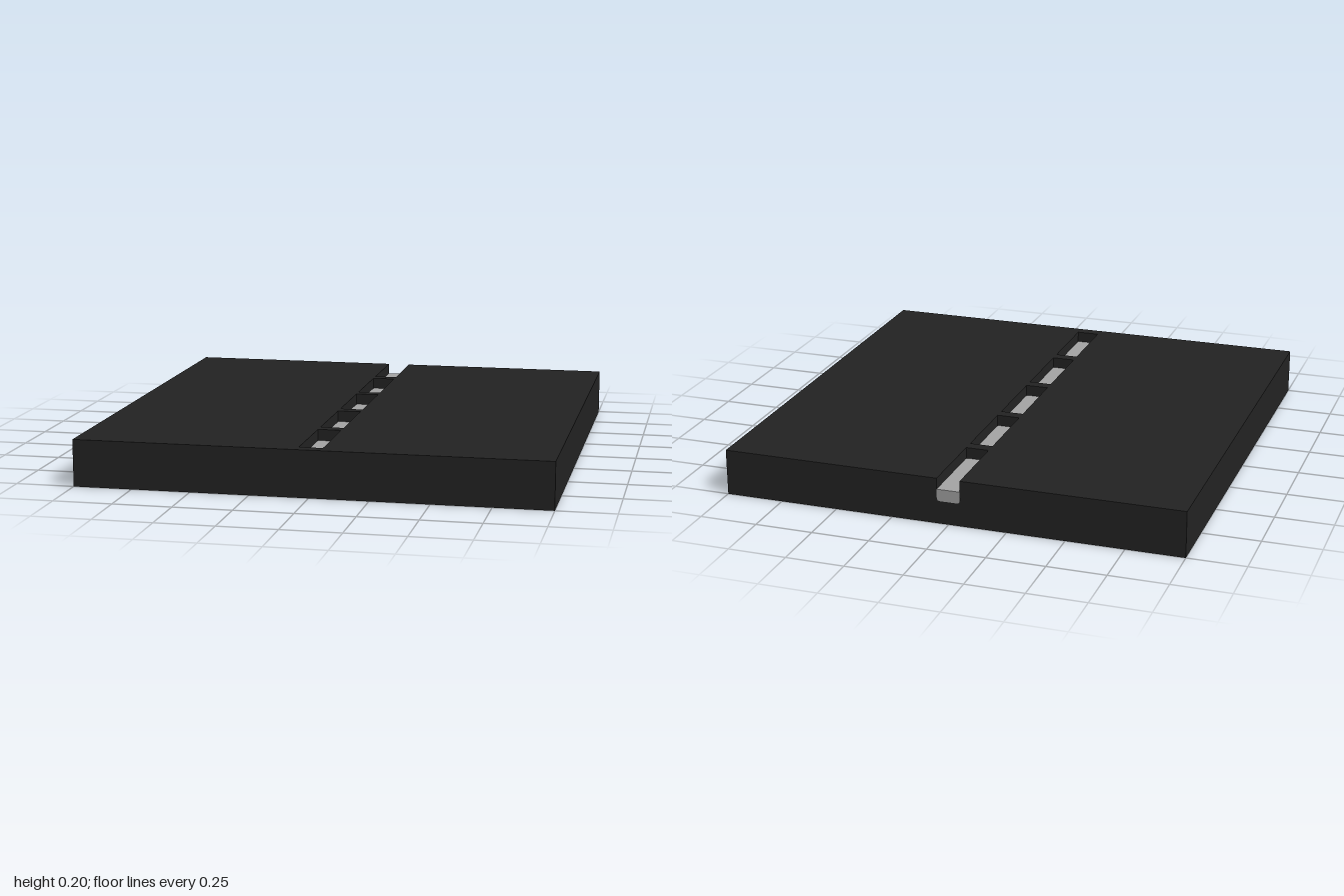
import * as THREE from 'three';

const HALF = 0.05;      // half width of a slot
const FLOOR = 0.15;     // height of the slot floors
const TOP = 0.2;
const RADIUS = 0.014;

// Closed slots as [back z, front z]; a fifth slot runs out through the back edge
const SLOTS = [[-0.6, -0.25], [-0.2, 0.15], [0.2, 0.55], [0.6, 0.95]];
const OPEN_SLOT_FRONT = -0.65;

const polygon = (points, Type = THREE.Shape) =>
  new Type(points.map(([x, y]) => new THREE.Vector2(x, y)));

// Shape with two or four rounded corners; the far end may stay square
function stripShape(y0, y1, roundFar) {
  const r = RADIUS, f = roundFar ? r : 0, s = new THREE.Shape();
  s.moveTo(-HALF + r, y0);
  s.lineTo(HALF - r, y0);
  s.quadraticCurveTo(HALF, y0, HALF, y0 + r);
  s.lineTo(HALF, y1 - f);
  if (f) s.quadraticCurveTo(HALF, y1, HALF - f, y1);
  s.lineTo(-HALF + f, y1);
  if (f) s.quadraticCurveTo(-HALF, y1, -HALF, y1 - f);
  s.lineTo(-HALF, y0 + r);
  s.quadraticCurveTo(-HALF, y0, -HALF + r, y0);
  return s;
}

const plate = (shape, depth) =>
  new THREE.ExtrudeGeometry(shape, { depth, bevelEnabled: false, curveSegments: 5 });

export function createModel() {
  const asphalt = new THREE.MeshStandardMaterial({ color: 0x232323 });
  asphalt.name = 'asphalt';
  const paint = new THREE.MeshStandardMaterial({ color: 0xa6a6a6 });
  paint.name = 'lane paint';

  const model = new THREE.Group();
  model.name = 'roadTile';
  const add = (name, geometry, material) => {
    const mesh = new THREE.Mesh(geometry, material);
    mesh.name = name;
    model.add(mesh);
    return mesh;
  };

  // Solid lower slab, its top is the floor of the slots
  add('lowerSlab', new THREE.BoxGeometry(2, FLOOR, 2), asphalt).position.y = FLOOR / 2;

  // Road surface with the slots cut through it
  const surface = polygon([
    [-1, -1], [1, -1], [1, 1], [HALF, 1],
    [HALF, -OPEN_SLOT_FRONT], [-HALF, -OPEN_SLOT_FRONT], [-HALF, 1], [-1, 1],
  ]);
  for (const [back, front] of SLOTS) {
    surface.holes.push(polygon(
      [[-HALF, -front], [-HALF, -back], [HALF, -back], [HALF, -front]], THREE.Path));
  }
  const surfaceGeometry = plate(surface, TOP - FLOOR);
  surfaceGeometry.rotateX(-Math.PI / 2).translate(0, FLOOR, 0);
  add('roadSurface', surfaceGeometry, asphalt);

  // Painted dashes on the slot floors
  [[-1, OPEN_SLOT_FRONT], ...SLOTS].forEach(([back, front], i) => {
    const geometry = plate(stripShape(-front, -back, i > 0), 0.002);
    geometry.rotateX(-Math.PI / 2).translate(0, FLOOR, 0);
    add('laneDash', geometry, paint);
  });

  // End of the last dash, showing on the back edge
  const end = plate(stripShape(0.1, FLOOR + 0.002, false), 0.002);
  end.translate(0, 0, -1.001);
  add('laneDashEnd', end, paint);

  return model;
}
